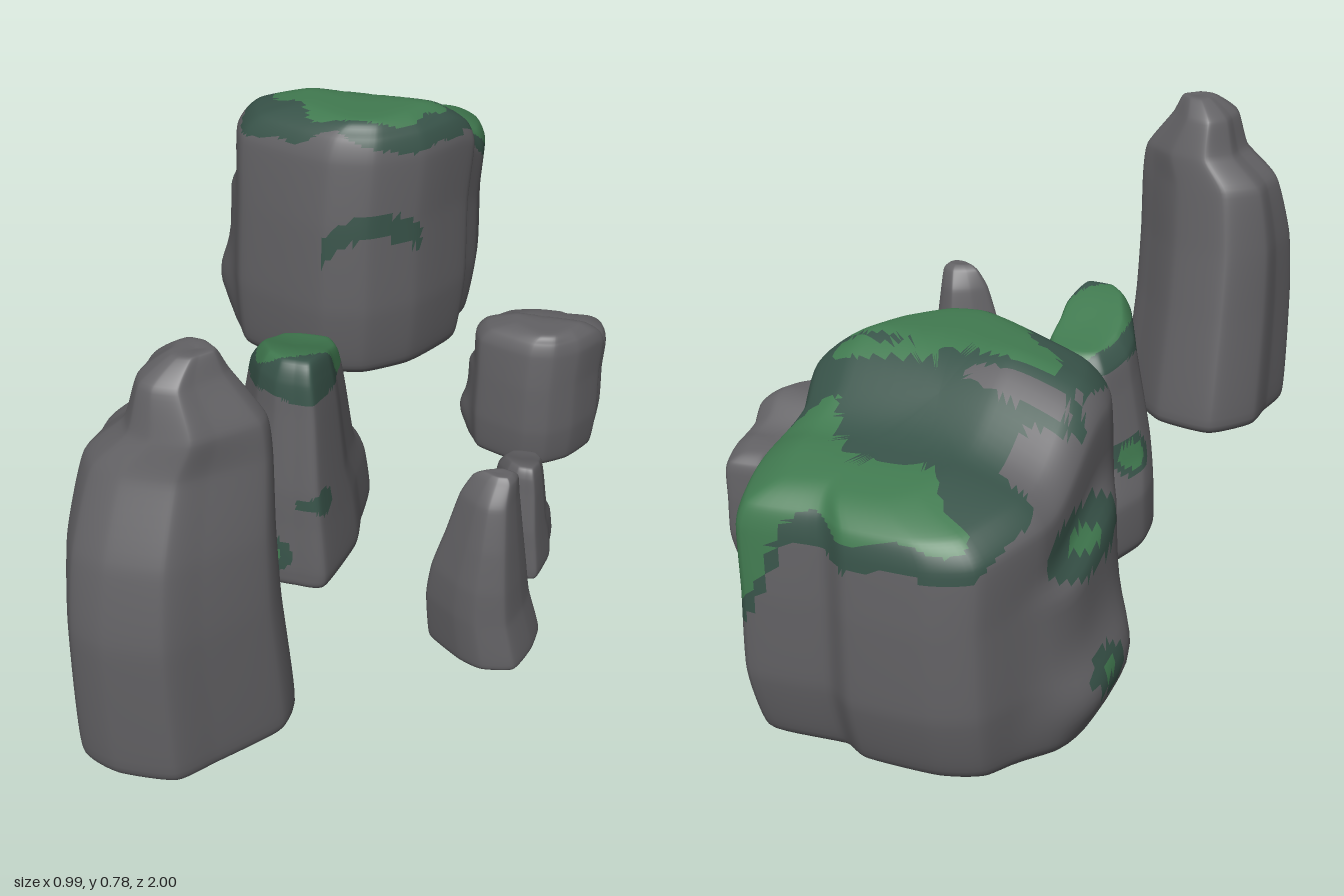
import * as THREE from 'three';

const AROUND = 128, STEPS = 8;
const { smoothstep, clamp } = THREE.MathUtils;

const mat = (name, color) => {
  const m = new THREE.MeshStandardMaterial({ color });
  m.name = name;
  return m;
};

// Soft cubic between levels, tightened to avoid overshoot
function soft(a, b, c, d, t) {
  const m0 = (c - a) * 0.3, m1 = (d - b) * 0.3, t2 = t * t, t3 = t2 * t;
  return (2 * t3 - 3 * t2 + 1) * b + (t3 - 2 * t2 + t) * m0 + (3 * t2 - 2 * t3) * c + (t3 - t2) * m1;
}

// Lofts a closed plan outline through levels [y, xMin, xMax, zMin, zMax];
// warp bends each point, moss returns 0 stone, 1 moss edge, 2 moss for a face centre
function rockGeometry(outline, levels, warp = () => {}, moss = () => 0) {
  const curve = new THREE.CatmullRomCurve3(
    outline.map(([x, z]) => new THREE.Vector3(x, 0, z)), true, 'catmullrom', 0.3);
  const plan = [];
  for (let i = 0; i < AROUND; i++) plan.push(curve.getPoint(i / AROUND));
  const box = new THREE.Box3().setFromPoints(plan), size = box.getSize(new THREE.Vector3());
  const unit = plan.map(p => [(p.x - box.min.x) / size.x, (p.z - box.min.z) / size.z]);

  const pts = [], rows = (levels.length - 1) * STEPS;
  for (let j = 0; j <= rows; j++) {
    const k = Math.min(Math.floor(j / STEPS), levels.length - 2), t = j / STEPS - k;
    const at = n => levels[clamp(n, 0, levels.length - 1)];
    const [y, x0, x1, z0, z1] = at(k).map((v, c) => soft(at(k - 1)[c], v, at(k + 1)[c], at(k + 2)[c], t));
    for (const [u, w] of unit) {
      const p = new THREE.Vector3(x0 + (x1 - x0) * u, y, z0 + (z1 - z0) * w);
      warp(p);
      pts.push(p);
    }
  }

  const faces = [[], [], []], mid = new THREE.Vector3();
  const tri = (a, b, c) => {
    mid.copy(pts[a]).add(pts[b]).add(pts[c]).divideScalar(3);
    faces[moss(mid)].push(a, b, c);
  };
  for (let j = 0; j < rows; j++) {
    for (let i = 0; i < AROUND; i++) {
      const n = (i + 1) % AROUND, a = j * AROUND + i, b = a + AROUND;
      const c = j * AROUND + n, d = c + AROUND;
      if (j > 0) tri(a, b, c);
      if (j < rows - 1) tri(c, b, d);
    }
  }
  const geo = new THREE.BufferGeometry().setFromPoints(pts);
  geo.setIndex(faces.flat());
  let start = 0;
  faces.forEach((f, i) => { geo.addGroup(start, f.length, i); start += f.length; });
  geo.computeVertexNormals();
  return geo;
}

const blob = (a, b, ra, rb) => Math.hypot(a / ra, b / rb);
const bell = (a, r) => Math.exp(-((a / r) ** 2));
const wobble = p => 0.008 * Math.sin(p.x * 31 + p.z * 13) + 0.005 * Math.sin(p.z * 37 - p.x * 17);

// Broad boulder with a stepped, back-sloping top and a side bulge
const boulder = () => rockGeometry(
  [[-0.43, -0.82], [-0.38, -0.95], [-0.3, -0.99], [-0.16, -1], [-0.1, -0.975], [0.05, -0.99],
    [0.09, -0.9], [0.11, -0.78], [0.1, -0.7], [0.12, -0.62], [0.08, -0.52], [0.04, -0.45],
    [-0.05, -0.37], [-0.15, -0.35], [-0.25, -0.38], [-0.38, -0.44], [-0.42, -0.53], [-0.43, -0.68]],
  [[0.06, -0.16, -0.16, -0.68, -0.68], [0.06, -0.38, 0.04, -0.9, -0.45], [0.1, -0.42, 0.09, -0.97, -0.37],
    [0.25, -0.43, 0.11, -1, -0.35], [0.45, -0.425, 0.11, -1, -0.36], [0.6, -0.425, 0.12, -0.99, -0.38],
    [0.655, -0.38, 0.1, -0.975, -0.4], [0.69, -0.26, 0.03, -0.92, -0.44], [0.69, -0.16, -0.16, -0.68, -0.68]],
  p => {
    const drop = 0.19 * smoothstep(-p.z, 0.57, 0.8) + 0.05 * smoothstep(-p.z, 0.8, 1);
    const out = (0.033 + 0.035 * bell(p.y - 0.19, 0.08)) * (1 - smoothstep(p.y, 0.43, 0.51));
    p.x -= out * smoothstep(-p.x, 0.3, 0.4) * Math.exp(-(((p.z + 0.68) / 0.14) ** 4));
    p.y = 0.06 + (p.y - 0.06) * (1 - drop);
  },
  p => {
    const { x, y, z } = p;
    // dark band and bare gap along the step on top
    if (y > 0.56) {
      if (blob(x + 0.29, z + 0.64, 0.1, 0.024) < 1) return 0;
      if (blob(x + 0.28, z + 0.645, 0.135, 0.047) < 1) return 1;
      if (x > -0.18 && x < 0.105 && Math.abs(z + 0.68 + 0.15 * x) < 0.032) return 1;
    }
    if (y > 0.5 && Math.abs(x + 0.15) < 0.022 && z > -0.83 && z < -0.66) return 1;
    // patches on the bulge and the front
    if (x < -0.4) {
      const d = Math.min(blob(z + 0.69, y - 0.43, 0.12, 0.055), blob(z + 0.7, y - 0.2, 0.055, 0.04));
      if (d < 1) return d < 0.35 ? 2 : 1;
    }
    if (z > -0.47 && x > -0.16 && x < 0.06) {
      const arc = 0.46 - 6 * (x + 0.05) ** 2;
      if (Math.abs(y - arc) < 0.03) return 1;
    }
    // cap with a thin front rim, hanging lowest at the back right corner
    const gap = 0.06 * bell(x + 0.16, 0.05) * smoothstep(z, -0.44, -0.4);
    const fall = 0.5 + 0.35 * smoothstep(x, -0.05, 0.05);
    const edge = z > -0.6 ? 0.625 + gap : 0.645 - fall * (-z - 0.6);
    const m = y - edge + wobble(p);
    return m > (z > -0.6 ? 0.05 : 0.04) ? 2 : m > 0 ? 1 : 0;
  });

// Leaning stump with a low foot at the back
const stump = () => rockGeometry(
  [[-0.2, -0.08], [-0.14, -0.11], [-0.01, -0.11], [0.05, -0.02], [0.065, 0.1], [0.08, 0.19],
    [0.06, 0.34], [0, 0.35], [-0.06, 0.345], [-0.13, 0.29], [-0.17, 0.22], [-0.215, 0.13], [-0.23, 0.04]],
  [[0, -0.07, -0.07, 0.12, 0.12], [0.005, -0.2, 0.06, -0.09, 0.33], [0.04, -0.23, 0.08, -0.11, 0.35],
    [0.15, -0.225, 0.07, -0.095, 0.345], [0.23, -0.2, 0.06, -0.02, 0.34], [0.38, -0.165, 0.045, 0.02, 0.32],
    [0.45, -0.15, 0.035, 0.035, 0.31], [0.49, -0.12, 0.02, 0.06, 0.285], [0.49, -0.055, -0.055, 0.17, 0.17]],
  p => { p.y *= 1 - 0.14 * smoothstep(0.3 - p.z, 0, 0.26); },
  p => {
    const { x, y, z } = p;
    if (y > 0.385 + 0.12 * (z - 0.06) + wobble(p) * 0.6) return blob(x + 0.05, z - 0.155, 0.078, 0.128) < 1 ? 2 : 1;
    const side = blob(z - 0.07, y - 0.21, 0.06, 0.04);
    if (x < -0.12 && side < 1) return side < 0.65 ? 2 : 1;
    if (x > 0 && blob(z - 0.315, y - 0.2, 0.03, 0.028) < 1) return 1;
    const low = blob(x + 0.06, y - 0.08, 0.055, 0.04);
    return z > 0.2 && low < 1 ? (low < 0.5 ? 2 : 1) : 0;
  });

// Tall tapering spire with shoulders
const largeSpire = () => rockGeometry(
  [[-0.16, 0.59], [-0.02, 0.605], [0.075, 0.685], [0.12, 0.73], [0.12, 0.8], [0.035, 0.92],
    [-0.02, 0.99], [-0.13, 1], [-0.2, 0.97], [-0.24, 0.88], [-0.235, 0.78], [-0.235, 0.69]],
  [[0.02, -0.06, -0.06, 0.8, 0.8], [0.02, -0.19, 0.08, 0.65, 0.95], [0.05, -0.235, 0.122, 0.595, 0.99],
    [0.3, -0.235, 0.11, 0.635, 1], [0.45, -0.23, 0.105, 0.66, 0.975], [0.59, -0.205, 0.1, 0.68, 0.92],
    [0.66, -0.135, 0.09, 0.695, 0.9], [0.74, -0.11, 0.03, 0.72, 0.875], [0.78, -0.06, 0.01, 0.76, 0.83],
    [0.78, -0.02, -0.02, 0.795, 0.795]]);

// Short spire leaning to its left
const smallSpire = () => rockGeometry(
  [[0.34, 0.385], [0.41, 0.345], [0.46, 0.36], [0.49, 0.385], [0.49, 0.45], [0.47, 0.52],
    [0.41, 0.535], [0.36, 0.515], [0.29, 0.46], [0.29, 0.435]],
  [[0.025, 0.4, 0.4, 0.44, 0.44], [0.025, 0.31, 0.47, 0.37, 0.51], [0.04, 0.295, 0.495, 0.345, 0.535],
    [0.13, 0.29, 0.475, 0.358, 0.535], [0.2, 0.3, 0.468, 0.37, 0.532], [0.28, 0.325, 0.46, 0.385, 0.52],
    [0.36, 0.348, 0.452, 0.4, 0.5], [0.4, 0.37, 0.45, 0.42, 0.475], [0.412, 0.39, 0.44, 0.435, 0.465],
    [0.412, 0.415, 0.415, 0.45, 0.45]]);

export function createModel() {
  const stone = mat('stone', 0x626164);
  const mossy = [stone, mat('mossEdge', 0x385349), mat('moss', 0x417a50)];
  const group = new THREE.Group();
  group.name = 'rocks';

  const add = (name, geo, materials, x = 0, y = 0, z = 0, scale = 1) => {
    const mesh = new THREE.Mesh(geo, materials);
    mesh.name = name;
    mesh.position.set(x, y, z);
    mesh.scale.setScalar(scale);
    group.add(mesh);
  };
  // Boulder and stump appear again at half size, bare of moss
  const b = boulder(), s = stump();
  add('largeBoulder', b, mossy);
  add('smallBoulder', b, stone, 0.43, 0.02, 0.04, 0.5);
  add('largeStump', s, mossy);
  add('smallStump', s, stone, 0.425, 0.015, 0.035, 0.5);
  add('largeSpire', largeSpire(), stone);
  add('smallSpire', smallSpire(), stone);
  return group;
}
